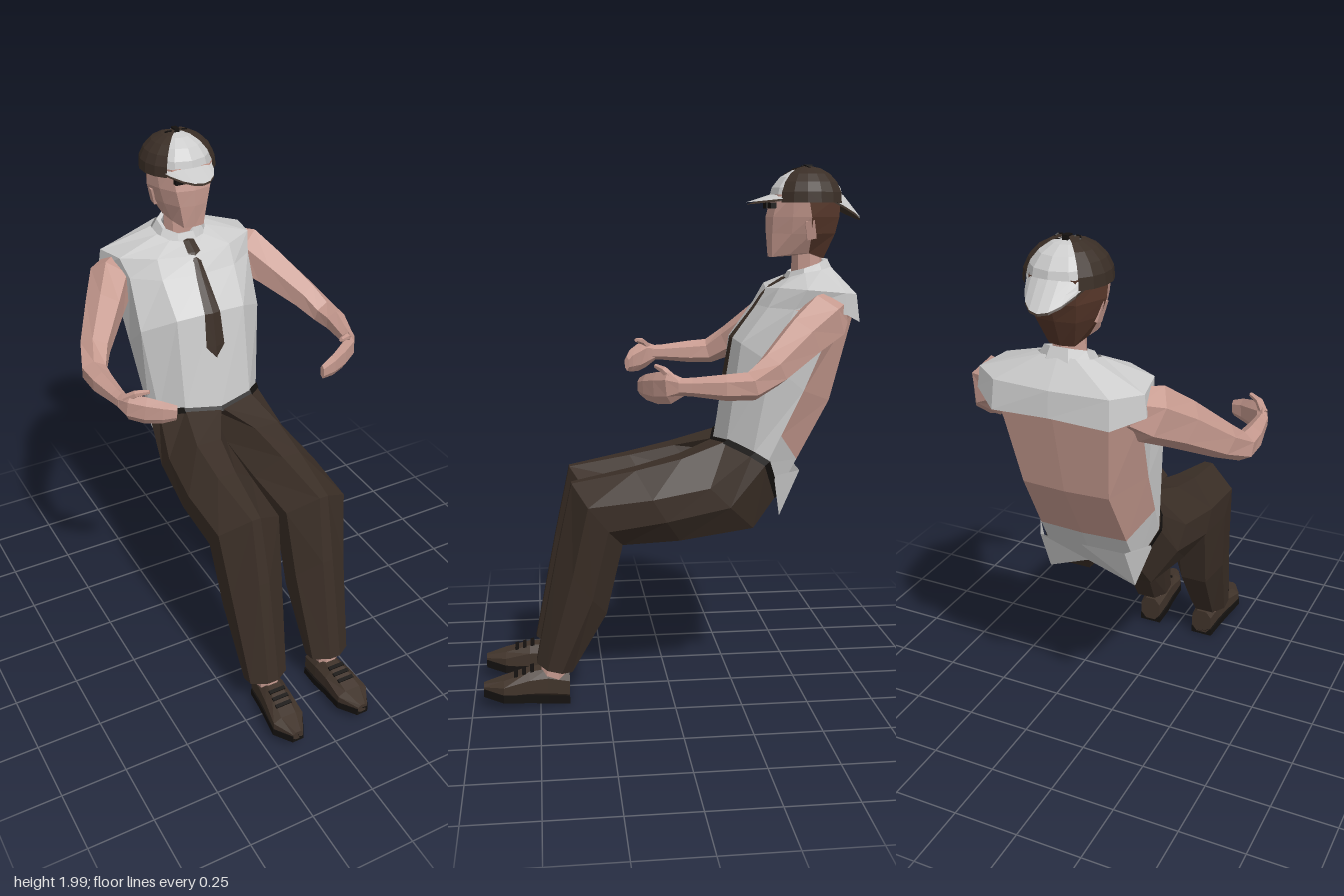
import * as THREE from 'three';

const COL = { shirt: 0xcccccc, skin: 0xc69a8f, pants: 0x3a2e26, black: 0x14110f, hair: 0x553629, shoe: 0x40332a };
const mat = (c) => new THREE.MeshStandardMaterial({ color: c, flatShading: true, side: THREE.DoubleSide });
const mix = (a, b, t) => a + (b - a) * t;

// Skin a list of equal-length cross-sections; optionally close each loop and cap the ends
function loft(name, rings, color, { closed = true, caps = false } = {}) {
  const pos = [], n = rings[0].length;
  for (let r = 0; r < rings.length - 1; r++) {
    for (let i = 0; i < (closed ? n : n - 1); i++) {
      const j = (i + 1) % n, A = rings[r], B = rings[r + 1];
      pos.push(...A[i], ...A[j], ...B[j], ...A[i], ...B[j], ...B[i]);
    }
  }
  if (caps) for (const R of [[...rings[0]].reverse(), rings[rings.length - 1]]) {
    const c = [0, 1, 2].map((k) => R.reduce((s, p) => s + p[k], 0) / n);
    R.forEach((p, i) => pos.push(...c, ...p, ...R[(i + 1) % n]));
  }
  const g = new THREE.BufferGeometry();
  g.setAttribute('position', new THREE.Float32BufferAttribute(pos, 3));
  g.computeVertexNormals();
  const m = new THREE.Mesh(g, mat(color));
  m.name = name;
  return m;
}

const flip = ([x, y, z]) => [-x, y, z];
// Half outline (front centre to back centre) to full loop, front strip, or back strip
const whole = (h) => [...h, ...h.slice(1, -1).reverse().map(flip)];
const front = (h) => [...h.slice(1, 4).reverse().map(flip), ...h.slice(0, 4)];
const back = (h) => [...h.slice(3), ...h.slice(3, -1).reverse().map(flip)];

// Eight-sided section between xin and xout, spanned by a top and a bottom [y, z] point.
// crest is how far the top corners move in towards a ridge, cut how far the side corners do
function oct(s, xin, xout, top, bot, crest = 0.25, cut = 0.25) {
  const uv = [[crest, 1], [1 - crest, 1], [1, 1 - cut], [1, cut], [.75, 0], [.25, 0], [0, cut], [0, 1 - cut]];
  return uv.map(([u, v]) => [s * mix(xin, xout, u), mix(bot[0], top[0], v), mix(bot[1], top[1], v)]);
}

// Six-sided sections along a path of [x, y, z, half width, half height]
function limb(name, path, s, color) {
  const P = path.map((p) => new THREE.Vector3(p[0], p[1], p[2]));
  const rings = P.map((p, i) => {
    const t = P[Math.min(i + 1, P.length - 1)].clone().sub(P[Math.max(i - 1, 0)]).normalize();
    const side = new THREE.Vector3(0, 1, 0).cross(t).normalize(), up = t.clone().cross(side);
    return Array.from({ length: 6 }, (_, k) => {
      const a = k * Math.PI / 3 + Math.PI / 6;
      const q = p.clone().addScaledVector(side, Math.cos(a) * path[i][3]).addScaledVector(up, Math.sin(a) * path[i][4]);
      return [s * q.x, q.y, q.z];
    });
  });
  return loft(name, rings, color, { caps: true });
}

function part(name, geo, color, x, y, z) {
  const m = new THREE.Mesh(geo, mat(color));
  m.name = name;
  m.position.set(x, y, z);
  return m;
}

export function createModel() {
  const g = new THREE.Group();
  g.name = 'seatedMan';

  // Torso: shirt front, bare back, shoulder yoke
  const waist = [[0, .985, -.17], [.14, 1, -.2], [.215, .965, -.285], [.235, .935, -.335], [.17, .8, -.385], [0, .8, -.395]];
  const chest = [[0, 1.37, -.235], [.14, 1.36, -.25], [.25, 1.3, -.34], [.25, 1.2, -.46], [.16, 1.15, -.575], [0, 1.15, -.585]];
  const armpit = [[0, 1.49, -.325], [.15, 1.49, -.345], [.25, 1.49, -.42], [.27, 1.45, -.56], [.2, 1.49, -.65], [0, 1.49, -.66]];
  const yokeHem = [...armpit.slice(0, 3), [.305, 1.475, -.595], [.21, 1.44, -.668], [0, 1.45, -.675]];
  const shoulder = [[0, 1.55, -.365], [.15, 1.56, -.385], [.27, 1.56, -.46], [.295, 1.55, -.59], [.205, 1.54, -.655], [0, 1.54, -.668]];
  const neck = [[0, 1.58, -.43], [.07, 1.595, -.445], [.1, 1.61, -.49], [.1, 1.62, -.55], [.06, 1.63, -.595], [0, 1.63, -.6]];
  const hem = waist.map((p, i) => p.map((v, k) => mix(v, chest[i][k], 0.38)));
  g.add(loft('shirtFront', [waist, chest, armpit].map(front), COL.shirt, { closed: false }));
  g.add(loft('shirtLowerBack', [waist, hem].map(back), COL.shirt, { closed: false }));
  g.add(loft('bareBack', [hem, chest, armpit].map(back), COL.skin, { closed: false }));
  g.add(loft('shirtYoke', [yokeHem, shoulder, neck].map(whole), COL.shirt));
  const tail = [[[.22, .885, -.37], [.165, .89, -.47], [0, .89, -.475]], [[.22, .87, -.365], [.17, .72, -.395], [0, .8, -.425]]];
  g.add(loft('shirtTail', tail.map((r) => [...r, ...r.slice(0, 2).reverse().map(flip)]), COL.shirt, { closed: false }));

  // Belt: a thin band around the tilted waist
  const band = (d) => whole(waist).map(([x, y, z]) => [x * 1.03, mix(.9, y, 1.03) + .64 * d, mix(-.295, z, 1.03) - .77 * d]);
  g.add(loft('belt', [band(-.015), band(.01)], COL.black));

  // Collar and tie
  const collar = (r, dy) => Array.from({ length: 8 }, (_, i) => {
    const a = (i + .5) * Math.PI / 4;
    return [Math.sin(a) * r, 1.6 + dy - Math.cos(a) * .025, -.52 + Math.cos(a) * r * .9];
  });
  g.add(loft('collar', [collar(.112, -.02), collar(.082, .035), collar(.065, .03)], COL.shirt));
  const tie = [[.022, 1.59, -.43], [.026, 1.56, -.382], [.015, 1.53, -.352], [.022, 1.48, -.318], [.032, 1.37, -.235], [.038, 1.24, -.213], [.002, 1.195, -.205]];
  g.add(loft('tie', tie.map(([w, y, z]) => [[-w, y, z], [0, y, z + .006], [w, y, z], [0, y, z - .012]]), COL.pants, { caps: true }));

  // Neck and head, with hair on the rear half
  const ringY = (y, r, s) => Array.from({ length: 8 }, (_, i) => [Math.sin(i * Math.PI / 4) * r, y, s + Math.cos(i * Math.PI / 4) * r]);
  g.add(loft('neck', [ringY(1.56, .06, -.52), ringY(1.72, .055, -.515)], COL.skin));
  const head = [
    [[0, 1.665, -.372], [.04, 1.665, -.378], [.06, 1.675, -.44], [.066, 1.68, -.51], [.045, 1.66, -.57], [0, 1.66, -.58]],
    [[0, 1.75, -.362], [.055, 1.75, -.375], [.09, 1.75, -.44], [.108, 1.75, -.51], [.07, 1.75, -.605], [0, 1.75, -.615]],
    [[0, 1.81, -.36], [.068, 1.81, -.375], [.105, 1.81, -.44], [.127, 1.81, -.505], [.08, 1.81, -.617], [0, 1.81, -.635]],
    [[0, 1.89, -.38], [.075, 1.89, -.392], [.115, 1.89, -.44], [.13, 1.89, -.49], [.08, 1.89, -.62], [0, 1.89, -.642]],
  ];
  g.add(loft('face', head.map(front), COL.skin, { closed: false }));
  g.add(loft('hair', head.map(back), COL.hair, { closed: false }));
  g.add(loft('jawUnderside', [whole(head[0]), whole(head[0]).map(([x, y, z]) => [x * .3, 1.67, mix(-.49, z, .3)])], COL.skin));
  for (const s of [-1, 1]) {
    g.add(part('eye', new THREE.BoxGeometry(.052, .022, .02), COL.black, s * .047, 1.85, -.375));
    const ear = part('ear', new THREE.BoxGeometry(.014, .07, .035), COL.skin, s * .106, 1.765, -.505);
    ear.rotation.set(.2, 0, -s * .25);
    g.add(ear);
  }

  // Cap: pale crown, dark side flaps tied on top, a bill front and back
  const crown = part('capCrown', new THREE.SphereGeometry(1, 12, 4, 0, Math.PI * 2, 0, Math.PI / 2), COL.shirt, 0, 1.87, -.51);
  crown.scale.set(.13, .116, .14);
  g.add(crown);
  for (const s of [-1, 1]) {
    const flap = part('capSideFlap', new THREE.SphereGeometry(1, 5, 5, (s > 0 ? Math.PI : 0) - .87, 1.74, .08, Math.PI * .5), COL.pants, 0, 1.87, -.51);
    flap.scale.set(.143, .123, .146);
    g.add(flap);
    const loop = part('bowLoop', new THREE.TorusGeometry(.014, .003, 4, 6), COL.black, s * .03, 1.987, -.51);
    loop.rotation.x = Math.PI / 2 - .5;
    g.add(loop);
  }
  g.add(part('bowKnot', new THREE.BoxGeometry(.02, .016, .03), COL.black, 0, 1.99, -.515));
  const bill = (name, dir, reach, drop, color, dy) => {
    const edge = (out) => Array.from({ length: 9 }, (_, i) => {
      const a = (i - 4) * .27, c = Math.max(0, Math.cos(a * 1.4));
      return [Math.sin(a) * (.13 - .01 * out), 1.89 + dy - out * drop * c - .02 * (1 - Math.cos(a)), -.51 + dir * (Math.cos(a) * .135 + out * reach * c)];
    });
    g.add(loft(name, [edge(0), edge(.55), edge(1)], color, { closed: false }));
  };
  for (const [color, dy] of [[COL.shirt, 0], [COL.pants, -.008]]) {
    bill('frontBill', 1, .088, .028, color, dy);
    bill('backBill', -1, .072, .085, color, dy);
  }

  for (const s of [-1, 1]) {
    // Arm bent at the elbow, with a flat cupped hand; the right one is held slightly wider
    const wide = s < 0 ? .05 : 0;
    g.add(limb('arm', [[.23, 1.48, -.55, .075, .075], [.285, 1.455, -.515, .085, .1], [.355, 1.395, -.425, .074, .085], [.448, 1.305, -.305, .058, .062],
      [.488, 1.258, -.225, .05, .05], [.49, 1.255, -.14, .042, .045], [.465 + wide * .3, 1.255, -.03, .028, .032], [.455 + wide * .4, 1.255, .015, .024, .03]], s, COL.skin));
    g.add(limb('hand', [[.46, 1.255, 0, .022, .03], [.435, 1.25, .045, .022, .055], [.38, 1.24, .08, .02, .055], [.32, 1.235, .113, .015, .045],
      [.265, 1.23, .13, .01, .03]].map(([x, ...r], i) => [x + wide * mix(.4, 1.2, i / 4), ...r]), s, COL.skin));
    g.add(limb('thumb', [[.44, 1.275, .03, .015, .018], [.41, 1.305, .06, .014, .014], [.37, 1.315, .085, .008, .008]]
      .map(([x, ...r]) => [x + wide * .7, ...r]), s, COL.skin));

    // Trouser leg from waist over the knee to the cuff, with a pressed ridge in front
    const hip = [...waist, [0, .85, -.34], [0, .93, -.25]].map(([x, y, z]) => [s * x, y, z]);
    g.add(loft('trouserLeg', [
      hip,
      oct(s, 0, .25, [.945, -.03], [.68, -.295], .3, .36),
      oct(s, .006, .27, [.905, .14], [.645, -.02], .36, .34),
      oct(s, .016, .265, [.86, .372], [.635, .19], .43, .3),
      oct(s, .03, .242, [.6, .428], [.37, .25], .4, .3),
      oct(s, .06, .215, [.175, .512], [.14, .38], .36, .3),
    ], COL.pants, { caps: true }));

    // Ankle, shoe, sole and laces
    g.add(loft('ankle', [oct(s, .09, .17, [.1, .5], [.1, .41]), oct(s, .09, .17, [.2, .49], [.2, .4])], COL.skin));
    const shoe = [[.39, .122, .043, .01, .125], [.47, .125, .05, .02, .147], [.54, .133, .054, .03, .142], [.635, .142, .062, .041, .115], [.71, .142, .02, .052, .098]];
    g.add(loft('shoe', shoe.map(([z, x, w, b, t]) => oct(s, x - w, x + w, [t, z], [b + .01, z])), COL.shoe, { caps: true }));
    g.add(loft('sole', shoe.map(([z, x, w, b]) => [[1, 0], [1, .03], [-1, .03], [-1, 0]].map(([k, h]) => [s * (x + k * (w + .003)), b + h, z])), COL.black, { caps: true }));
    for (let i = 0; i < 3; i++) {
      const lace = part('lace', new THREE.BoxGeometry(.065, .008, .014), COL.black, s * (.132 + i * .003), .145 - i * .008, .53 + i * .03);
      lace.rotation.x = .25;
      g.add(lace);
    }
  }
  return g;
}
